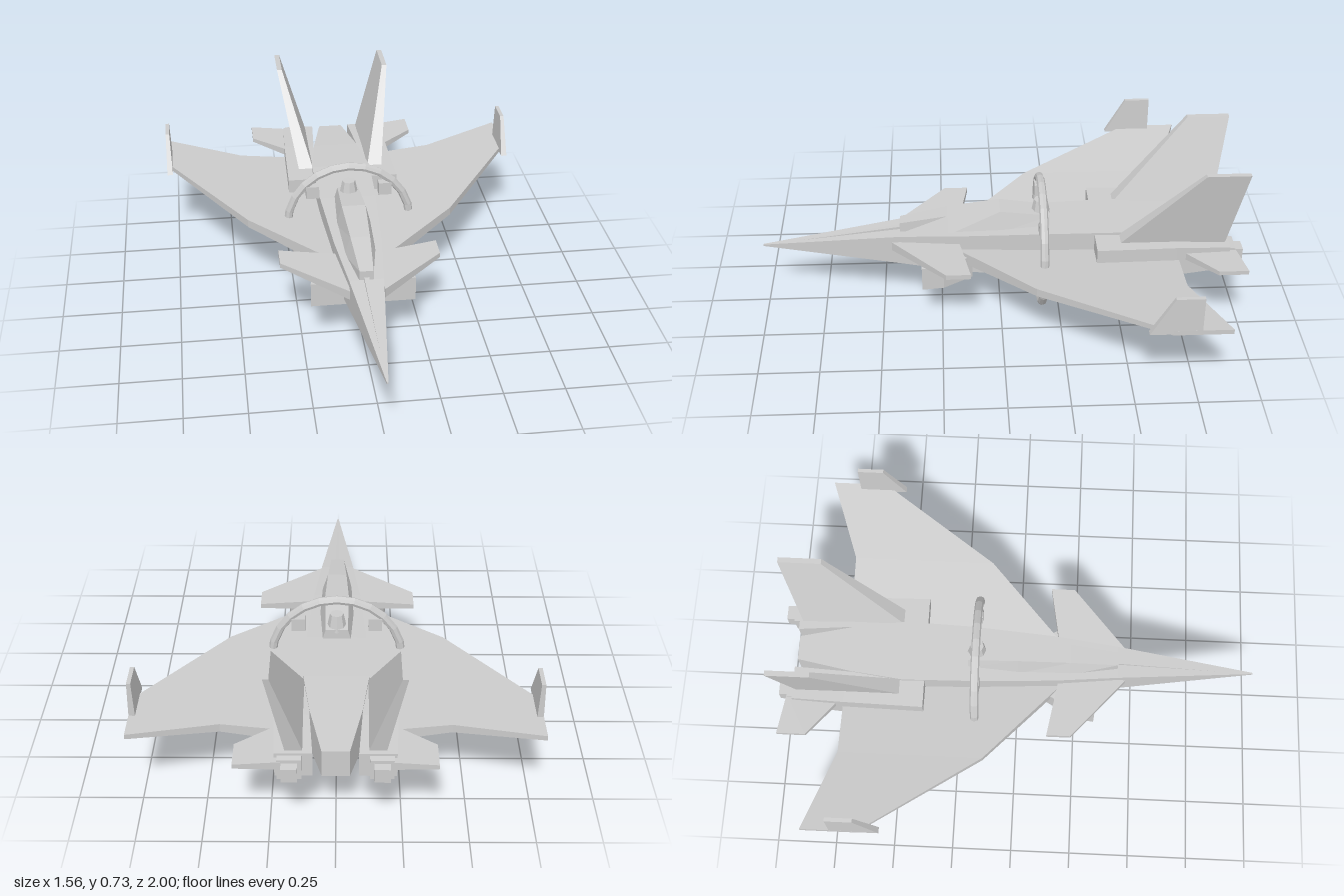
import * as THREE from 'three';

const material = new THREE.MeshStandardMaterial({ color: 0xcccccc, flatShading: true });

function addMesh(group, name, geometry) {
  const mesh = new THREE.Mesh(geometry, material);
  mesh.name = name;
  group.add(mesh);
  return mesh;
}

// Joins cross-sections (rings of points) into a closed solid, turned outward by its signed volume
function loft(sections) {
  const tris = [];
  const n = sections[0].length;
  for (let s = 0; s < sections.length - 1; s++) {
    const a = sections[s], b = sections[s + 1];
    for (let i = 0; i < n; i++) {
      const j = (i + 1) % n;
      tris.push([a[i], a[j], b[j]], [a[i], b[j], b[i]]);
    }
  }
  const first = sections[0], last = sections[sections.length - 1];
  for (let i = 1; i < n - 1; i++) {
    tris.push([first[0], first[i + 1], first[i]], [last[0], last[i], last[i + 1]]);
  }
  let volume = 0;
  for (const [a, b, c] of tris) {
    const [p, q, r] = [a, b, c].map((v) => new THREE.Vector3(...v));
    volume += p.dot(q.cross(r));
  }
  if (volume < 0) tris.forEach((t) => t.reverse());
  const geometry = new THREE.BufferGeometry();
  geometry.setAttribute('position', new THREE.Float32BufferAttribute(tris.flat(2), 3));
  geometry.computeVertexNormals();
  return geometry;
}

// Box section across z: inner/outer x, bottom/top y
const boxSection = (z, x0, x1, y0, y1) => [[x0, y0, z], [x1, y0, z], [x1, y1, z], [x0, y1, z]];
// Wing section across x: bottom/top y, leading/trailing z
const wingSection = (x, y0, y1, z0, z1) => [[x, y0, z0], [x, y0, z1], [x, y1, z1], [x, y1, z0]];
// Fin section across y: inner/outer x, leading/trailing z
const finSection = (y, x0, x1, z0, z1) => [[x0, y, z0], [x1, y, z0], [x1, y, z1], [x0, y, z1]];

function addPair(group, name, sections) {
  for (const side of [1, -1]) {
    const label = (side > 0 ? 'left' : 'right') + name;
    addMesh(group, label, loft(sections.map((s) => s.map(([x, y, z]) => [x * side, y, z]))));
  }
}

export function createModel() {
  const model = new THREE.Group();
  model.name = 'fighterJet';

  // Fuselage: z, half width, bottom, top
  addMesh(model, 'fuselage', loft([
    [1, 0.003, 0.285, 0.292],
    [0.42, 0.07, 0.225, 0.36],
    [0.15, 0.1, 0.195, 0.375],
    [-0.2, 0.122, 0.173, 0.39],
    [-0.48, 0.13, 0.18, 0.395],
    [-0.7, 0.1, 0.208, 0.388],
    [-0.93, 0.052, 0.26, 0.375],
  ].map(([z, w, y0, y1]) => boxSection(z, -w, w, y0, y1))));

  // Thin ridge along the top of the nose
  addMesh(model, 'noseRidge', loft([
    boxSection(0.86, -0.004, 0.004, 0.29, 0.308),
    boxSection(0.4, -0.011, 0.011, 0.33, 0.374),
  ]));

  // Canopy: z, base half width, top half width, base y, top y
  addMesh(model, 'canopy', loft([
    [0.42, 0.03, 0.028, 0.35, 0.4],
    [0.22, 0.066, 0.04, 0.36, 0.438],
    [0, 0.073, 0.05, 0.37, 0.46],
    [-0.21, 0.06, 0.045, 0.38, 0.432],
  ].map(([z, w, t, y0, y1]) => [[-w, y0, z], [w, y0, z], [t, y1, z], [-t, y1, z]])));

  // Faceted sensor dome behind the canopy
  const dome = addMesh(model, 'sensorDome', new THREE.CylinderGeometry(0.028, 0.042, 0.07, 8));
  dome.position.set(0, 0.452, -0.172);

  // Air intakes
  addPair(model, 'Intake', [
    boxSection(0.33, 0.06, 0.215, 0.19, 0.295),
    boxSection(0.24, 0.06, 0.205, 0.19, 0.295),
    boxSection(0.12, 0.06, 0.13, 0.19, 0.295),
  ]);

  // Main wings
  addPair(model, 'Wing', [
    wingSection(0.1, 0.253, 0.308, 0.18, -0.73),
    wingSection(0.44, 0.31, 0.345, -0.13, -0.73),
    wingSection(0.78, 0.365, 0.385, -0.62, -0.85),
  ]);

  // Wingtip fins
  addPair(model, 'WingtipFin', [
    finSection(0.37, 0.755, 0.78, -0.53, -0.73),
    finSection(0.53, 0.761, 0.777, -0.62, -0.73),
  ]);

  // Canards
  addPair(model, 'Canard', [
    wingSection(0.07, 0.293, 0.333, 0.455, 0.175),
    wingSection(0.33, 0.322, 0.343, 0.23, 0.13),
  ]);

  // Engine nacelles
  addPair(model, 'Nacelle', [
    boxSection(-0.39, 0.115, 0.243, 0.245, 0.383),
    boxSection(-0.72, 0.1, 0.236, 0.248, 0.383),
    boxSection(-0.94, 0.085, 0.225, 0.27, 0.372),
  ]);

  // Stepped exhaust nozzles
  addPair(model, 'NozzleHousing', [
    boxSection(-0.92, 0.125, 0.215, 0.272, 0.365),
    boxSection(-0.965, 0.125, 0.215, 0.275, 0.36),
  ]);
  addPair(model, 'Nozzle', [
    boxSection(-0.95, 0.14, 0.2, 0.285, 0.347),
    boxSection(-1, 0.14, 0.2, 0.287, 0.345),
  ]);

  // Horizontal stabilizers
  addPair(model, 'Stabilizer', [
    wingSection(0.2, 0.318, 0.352, -0.73, -0.965),
    wingSection(0.375, 0.342, 0.36, -0.87, -0.99),
  ]);

  // Canted tail fins
  addPair(model, 'TailFin', [
    finSection(0.375, 0.122, 0.187, -0.485, -0.925),
    finSection(0.733, 0.232, 0.254, -0.81, -0.987),
  ]);

  // Ring around the fuselage with four inner blocks
  const ring = new THREE.Group();
  ring.name = 'ringAssembly';
  ring.position.set(0, 0.286, -0.174);
  addMesh(ring, 'ring', new THREE.TorusGeometry(0.267, 0.018, 8, 24));
  for (const sx of [1, -1]) {
    for (const sy of [1, -1]) {
      const block = addMesh(ring, 'ringBlock', new THREE.BoxGeometry(0.056, 0.056, 0.036));
      block.position.set(sx * 0.157, sy * 0.157, 0);
    }
  }
  model.add(ring);

  return model;
}
